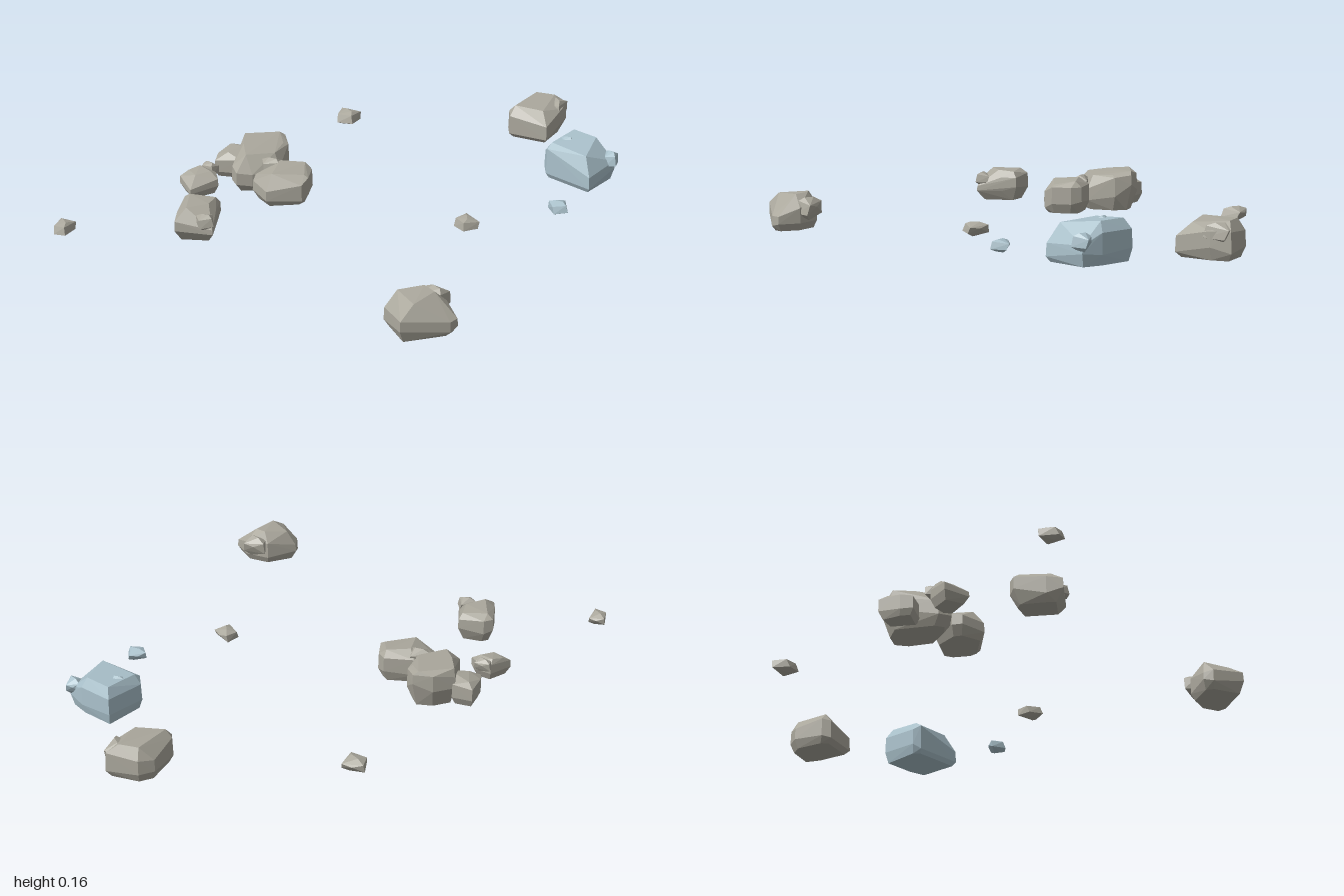
import * as THREE from 'three';
import { ConvexGeometry } from 'three/addons/geometries/ConvexGeometry.js';

const stone = new THREE.MeshStandardMaterial({ color: 0xaaa79c });
stone.name = 'warm grey stone';
const blueStone = new THREE.MeshStandardMaterial({ color: 0xa9c0ca });
blueStone.name = 'pale blue stone';

// Chiselled rock: hull of a flank outline [x, z, low y, high y],
// a smaller foot under it and a few crown points [x, y, z].
function rock(name, material, base, foot, flank, crown) {
  const cx = flank.reduce((s, p) => s + p[0], 0) / flank.length;
  const cz = flank.reduce((s, p) => s + p[1], 0) / flank.length;
  const points = crown.map((p) => new THREE.Vector3(...p));
  for (const [x, z, low, high] of flank) {
    points.push(
      new THREE.Vector3(x, low, z),
      new THREE.Vector3(cx + (x - cx) * 0.98, high, cz + (z - cz) * 0.98),
      new THREE.Vector3(cx + (x - cx) * foot, base, cz + (z - cz) * foot),
    );
  }
  const mesh = new THREE.Mesh(new ConvexGeometry(points), material);
  mesh.name = name;
  return mesh;
}

// Small angular stone, also used for chips stuck on the larger rocks
function pebble(name, material, x, y, z, w, h, d, turn) {
  const corners = [];
  for (const [i, j, k] of [
    [-1, -0.5, -0.7], [-0.7, -0.6, 0.9], [0.8, -0.4, 1], [1, -0.5, -0.6],
    [-0.9, 0.6, -0.8], [-0.8, 0.5, 0.6], [0.6, 0.7, 0.8], [0.9, 0.4, -0.9],
    [-0.3, 1, -0.3], [0.4, 1, 0.2], [-0.3, -1, 0.4], [0.4, -1, -0.3], [0, 0.2, -1],
  ]) corners.push(new THREE.Vector3(i * w / 2, j * h / 2, k * d / 2));
  const mesh = new THREE.Mesh(new ConvexGeometry(corners), material);
  mesh.position.set(x, y, z);
  mesh.rotation.y = turn;
  mesh.name = name;
  return mesh;
}

export function createModel() {
  const group = new THREE.Group();
  group.name = 'scatteredRocks';

  // Large boulder at the back
  group.add(
    rock('backBoulder', stone, 0.01, 0.84, [
      [0.36, -0.99, 0.05, 0.11], [0.495, -1, 0.04, 0.12], [0.51, -0.92, 0.06, 0.12],
      [0.5, -0.77, 0.03, 0.09], [0.33, -0.765, 0.03, 0.11], [0.31, -0.8, 0.04, 0.12],
      [0.315, -0.94, 0.05, 0.1],
    ], [[0.34, 0.15, -0.8], [0.37, 0.155, -0.96], [0.45, 0.155, -0.97], [0.46, 0.14, -0.82]]),
    pebble('backBoulderChip', stone, 0.475, 0.11, -0.94, 0.07, 0.08, 0.11, 0.1),
  );

  // Pale blue boulder with its knob and the small stone beside it
  group.add(
    rock('blueBoulder', blueStone, 0.01, 0.9, [
      [0.655, -0.68, 0.06, 0.13], [0.8, -0.64, 0.05, 0.13], [0.875, -0.6, 0.06, 0.09],
      [0.835, -0.42, 0.03, 0.08], [0.62, -0.48, 0.03, 0.14], [0.6, -0.51, 0.05, 0.12],
    ], [[0.63, 0.16, -0.51], [0.67, 0.17, -0.65], [0.78, 0.17, -0.62], [0.8, 0.155, -0.46]]),
    pebble('blueBoulderKnob', blueStone, 0.86, 0.1, -0.59, 0.06, 0.07, 0.07, 0.3),
    pebble('blueBoulderChip', blueStone, 0.675, 0.147, -0.565, 0.06, 0.05, 0.04, 0.5),
    pebble('bluePebble', blueStone, 0.795, 0.045, -0.195, 0.075, 0.05, 0.075, 0.6),
  );

  // Boulder at the front left corner of the model
  group.add(
    rock('frontBoulder', stone, 0.01, 0.84, [
      [0.56, 0.87, 0.05, 0.08], [0.655, 0.775, 0.04, 0.11], [0.76, 0.775, 0.04, 0.1],
      [0.83, 0.83, 0.04, 0.07], [0.82, 0.87, 0.03, 0.07], [0.68, 1, 0.06, 0.1],
      [0.57, 0.91, 0.04, 0.09],
    ], [[0.6, 0.145, 0.86], [0.68, 0.155, 0.8], [0.73, 0.15, 0.82], [0.7, 0.145, 0.93]]),
    pebble('frontBoulderKnob', stone, 0.71, 0.095, 0.77, 0.1, 0.09, 0.075, 0.1),
  );

  // Boulder on the front right
  group.add(
    rock('sideBoulder', stone, 0.01, 0.72, [
      [-0.5, 0.53, 0.07, 0.12], [-0.47, 0.5, 0.06, 0.12], [-0.36, 0.49, 0.07, 0.11],
      [-0.34, 0.555, 0.05, 0.11], [-0.3, 0.655, 0.05, 0.07], [-0.44, 0.71, 0.06, 0.1],
      [-0.465, 0.65, 0.04, 0.11],
    ], [[-0.47, 0.14, 0.54], [-0.37, 0.135, 0.51], [-0.36, 0.14, 0.58], [-0.42, 0.14, 0.65]]),
    pebble('sideBoulderChip', stone, -0.335, 0.1, 0.65, 0.07, 0.06, 0.06, 0.7),
  );

  // Cluster of touching rocks
  group.add(
    rock('clusterMain', stone, 0.01, 0.8, [
      [-0.53, 0.01, 0.09, 0.14], [-0.46, -0.055, 0.09, 0.16], [-0.38, -0.075, 0.12, 0.16],
      [-0.335, -0.02, 0.07, 0.15], [-0.31, 0.1, 0.05, 0.1], [-0.385, 0.2, 0.04, 0.09],
      [-0.44, 0.235, 0.05, 0.1], [-0.48, 0.2, 0.05, 0.11],
    ], [[-0.52, 0.175, 0.02], [-0.4, 0.175, -0.06], [-0.35, 0.16, 0], [-0.34, 0.155, 0.09],
      [-0.43, 0.16, 0.17], [-0.48, 0.17, 0.1]]),
    rock('clusterLeftSide', stone, 0.01, 0.82, [
      [-0.32, 0.095, 0.05, 0.12], [-0.2, 0.06, 0.06, 0.12], [-0.165, 0.09, 0.05, 0.12],
      [-0.14, 0.17, 0.05, 0.12], [-0.15, 0.21, 0.03, 0.1], [-0.27, 0.29, 0.04, 0.08],
      [-0.36, 0.24, 0.05, 0.09], [-0.37, 0.2, 0.05, 0.1],
    ], [[-0.29, 0.15, 0.13], [-0.2, 0.145, 0.09], [-0.16, 0.13, 0.17], [-0.27, 0.14, 0.24]]),
    rock('clusterRightSide', stone, 0.015, 0.78, [
      [-0.605, 0.005, 0.05, 0.1], [-0.52, 0, 0.05, 0.11], [-0.48, 0.12, 0.04, 0.1],
      [-0.59, 0.15, 0.04, 0.09], [-0.605, 0.1, 0.04, 0.1],
    ], [[-0.58, 0.12, 0.03], [-0.52, 0.13, 0.05], [-0.55, 0.12, 0.11]]),
    rock('clusterFront', stone, 0.015, 0.75, [
      [-0.6, 0.23, 0.05, 0.09], [-0.53, 0.24, 0.05, 0.09], [-0.5, 0.275, 0.05, 0.08],
      [-0.57, 0.38, 0.04, 0.06], [-0.655, 0.32, 0.05, 0.08],
    ], [[-0.6, 0.11, 0.25], [-0.54, 0.105, 0.27], [-0.58, 0.1, 0.32], [-0.63, 0.1, 0.29]]),
    pebble('clusterFrontChip', stone, -0.57, 0.09, 0.225, 0.07, 0.06, 0.045, 0),
    pebble('clusterNotchStone', stone, -0.325, 0.12, 0.14, 0.09, 0.07, 0.06, 0.5),
  );

  // Loose pebbles
  group.add(
    pebble('pebbleLeft', stone, 0.525, 0.045, 0.1, 0.09, 0.055, 0.08, -0.5),
    pebble('pebbleBack', stone, -0.35, 0.045, -0.575, 0.095, 0.06, 0.09, 0.1),
    pebble('pebbleRight', stone, -0.857, 0.045, 0.855, 0.07, 0.055, 0.09, 0.1),
  );
  return group;
}
